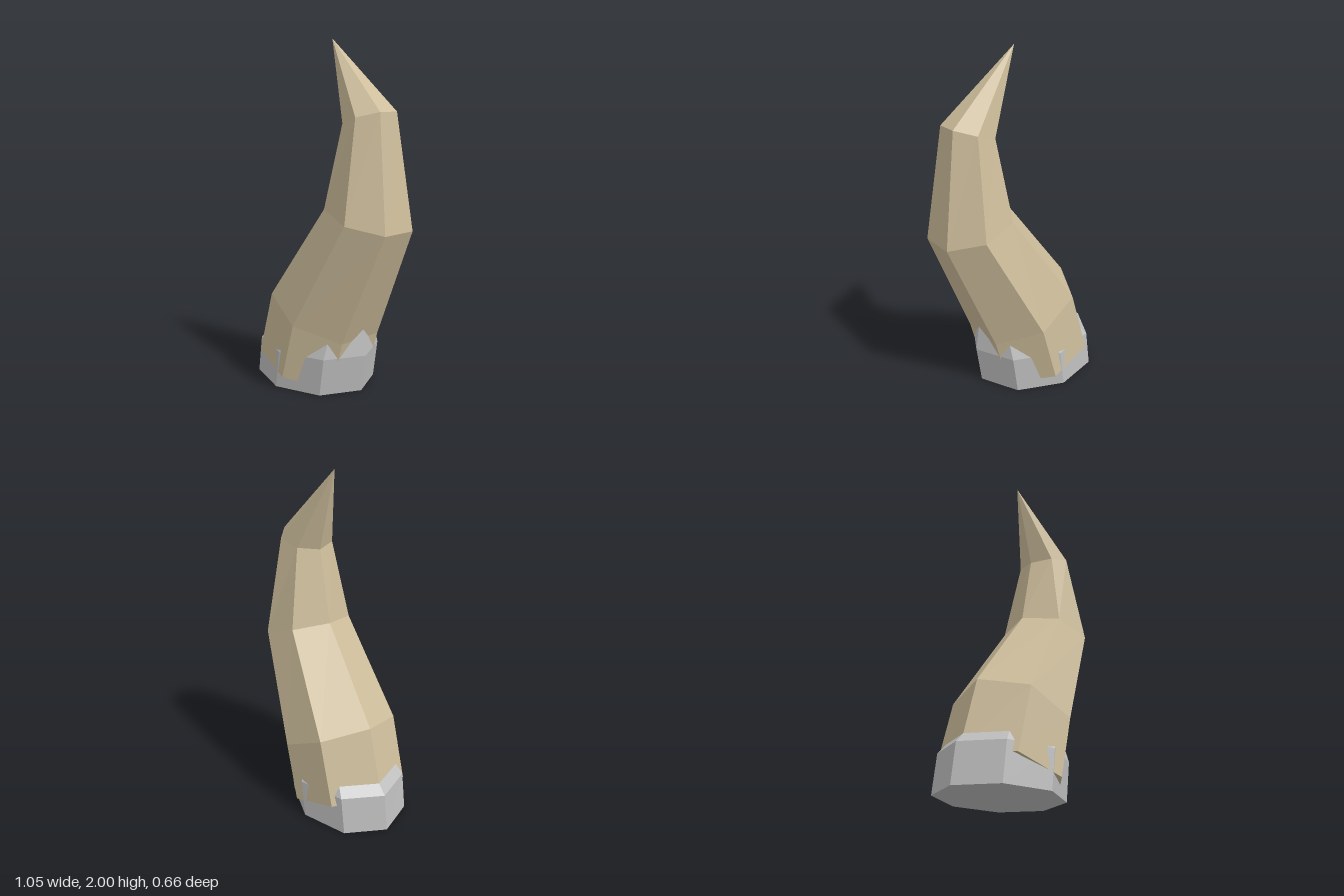
import * as THREE from 'three';

// Faceted loft through tilted elliptical rings.
// Ring: [centre x, centre y, x radius, y tilt, z radius]; the first corner points to -x.
function loft(rings, sides) {
  const pos = [];
  const corner = ([cx, cy, rx, tilt, rz], i) => {
    const a = (i % sides) / sides * Math.PI * 2;
    return [cx - rx * Math.cos(a), cy - tilt * Math.cos(a), rz * Math.sin(a)];
  };
  for (let i = 0; i < sides; i++) {
    // bottom cap
    const base = rings[0];
    pos.push(base[0], base[1], 0, ...corner(base, i + 1), ...corner(base, i));
    // walls
    for (let k = 0; k < rings.length - 1; k++) {
      const a = corner(rings[k], i), b = corner(rings[k], i + 1);
      const c = corner(rings[k + 1], i + 1), d = corner(rings[k + 1], i);
      pos.push(...a, ...b, ...c);
      if (rings[k + 1][2] > 0) pos.push(...a, ...c, ...d);
    }
  }
  const geometry = new THREE.BufferGeometry();
  geometry.setAttribute('position', new THREE.Float32BufferAttribute(pos, 3));
  geometry.computeVertexNormals();
  return geometry;
}

function addPart(group, name, geometry, material) {
  const mesh = new THREE.Mesh(geometry, material);
  mesh.name = name;
  group.add(mesh);
}

export function createModel() {
  const group = new THREE.Group();
  group.name = 'hornOnBase';
  const bone = new THREE.MeshStandardMaterial({ color: 0xcdbd9b });
  bone.name = 'bone';
  const stone = new THREE.MeshStandardMaterial({ color: 0xbebebe });
  stone.name = 'stone';

  // seven-sided curved horn, ending in a point
  addPart(group, 'horn', loft([
    [-0.138, 0.101, 0.327, -0.095, 0.338],
    [-0.038, 0.443, 0.307, -0.147, 0.338],
    [0.302, 1.03, 0.242, -0.074, 0.256],
    [0.302, 1.567, 0.147, 0.042, 0.153],
    [0.01, 2, 0, 0, 0],
  ], 7), bone);

  // eight-sided collar whose bevelled top runs into the horn
  addPart(group, 'baseCollar', loft([
    [-0.137, 0, 0.388, 0, 0.318],
    [-0.105, 0.22, 0.39, 0, 0.318],
    [-0.027, 0.4, 0.288, 0, 0.236],
    [-0.027, 0.4, 0, 0, 0],
  ], 8), stone);

  return group;
}
